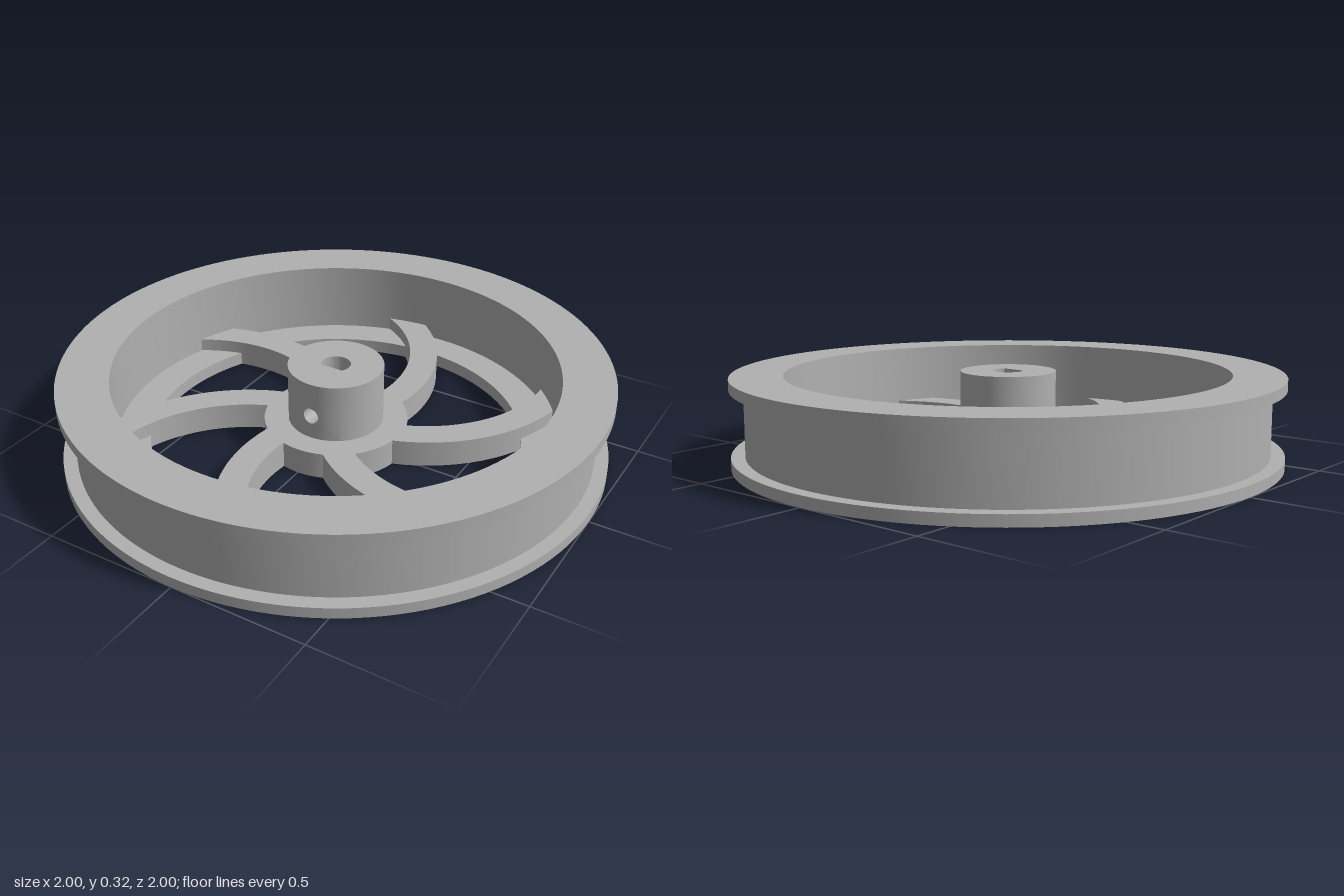
import * as THREE from 'three';
import { toCreasedNormals } from 'three/addons/utils/BufferGeometryUtils.js';

const RIM_R = 1, HEIGHT = 0.32, WEB = 0.1;          // overall radius, height, web thickness
const BOSS_R = 0.175, BORE_R = 0.054, FLAT = 0.032; // boss and D-shaped shaft bore
const SCREW_R = 0.03, SCREW_Y = 0.19;               // set-screw hole

const grey = new THREE.MeshStandardMaterial({ color: 0xb0b0b0, side: THREE.DoubleSide });
grey.name = 'grey plastic';

function part(name, geometry) {
  const mesh = new THREE.Mesh(toCreasedNormals(geometry, 0.5), grey);
  mesh.name = name;
  return mesh;
}

// Grid surface from fn(i, j) -> [x, y, z]
function surface(cols, rows, fn) {
  const pos = [], index = [];
  for (let j = 0; j <= rows; j++) for (let i = 0; i <= cols; i++) pos.push(...fn(i, j));
  for (let j = 0; j < rows; j++) for (let i = 0; i < cols; i++) {
    const a = j * (cols + 1) + i, b = a + cols + 1;
    index.push(a, a + 1, b, a + 1, b + 1, b);
  }
  const g = new THREE.BufferGeometry();
  g.setAttribute('position', new THREE.Float32BufferAttribute(pos, 3));
  g.setIndex(index);
  g.computeVertexNormals();
  return g;
}

// Rim: two flanges, a groove between them and an inner ledge
function makeRim() {
  const profile = [
    [0.685, 0], [RIM_R, 0], [RIM_R, 0.04], [0.95, 0.04], [0.95, 0.28], [RIM_R, 0.28],
    [RIM_R, HEIGHT], [0.81, HEIGHT], [0.81, 0.05], [0.685, 0.05], [0.685, 0],
  ].map(([r, y]) => new THREE.Vector2(r, y));
  return part('rim', new THREE.LatheGeometry(profile, 128));
}

// Curved spoke between two concentric arcs, ends buried in hub and rim
function makeSpokeGeometry() {
  const rad = THREE.MathUtils.degToRad, cx = -0.508, cy = -0.233;
  const shape = new THREE.Shape();
  shape.absarc(cx, cy, 0.633, rad(45), rad(113), false);
  shape.absarc(cx, cy, 0.524, rad(123.5), rad(48), true);
  shape.closePath();
  return new THREE.ExtrudeGeometry(shape, { depth: WEB, bevelEnabled: false, curveSegments: 24 })
    .rotateX(-Math.PI / 2);
}

// Boss with a D-shaped bore from the top and a set-screw hole in front
function makeBoss() {
  const boss = new THREE.Group();
  boss.name = 'boss';

  // Outer wall, leaving a window at the front for the drilled patch
  const half = 0.11, gap = half / BOSS_R, h = HEIGHT - WEB;
  const wall = new THREE.CylinderGeometry(BOSS_R, BOSS_R, h, 64, 1, true, gap, 2 * Math.PI - 2 * gap);
  boss.add(part('bossWall', wall.translate(0, WEB + h / 2, 0)));

  // Front patch: blends from the round screw hole to the window's edges
  const wrap = (u, y) => [BOSS_R * Math.sin(u / BOSS_R), y, BOSS_R * Math.cos(u / BOSS_R)];
  boss.add(part('drilledWall', surface(40, 5, (i, j) => {
    const a = (i / 40) * Math.PI * 2, c = Math.cos(a), s = Math.sin(a);
    const m = Math.max(Math.abs(c), Math.abs(s)), t = 1 - j / 5;
    const v = (s / m) * (s > 0 ? HEIGHT - SCREW_Y : SCREW_Y - WEB);
    return wrap(THREE.MathUtils.lerp(SCREW_R * c, half * c / m, t),
      SCREW_Y + THREE.MathUtils.lerp(SCREW_R * s, v, t));
  })));

  // Screw hole running in to the flat of the bore
  boss.add(part('screwHole', surface(40, 1, (i, j) => {
    const a = (i / 40) * Math.PI * 2;
    const p = wrap(SCREW_R * Math.cos(a), SCREW_Y + SCREW_R * Math.sin(a));
    return j ? p : [p[0], p[1], FLAT];
  })));

  // Top face and bore wall share the D outline
  const start = -Math.asin(FLAT / BORE_R);
  const dPath = new THREE.Path();
  dPath.absarc(0, 0, BORE_R, start, Math.PI - start, false);
  dPath.closePath();
  const top = new THREE.Shape().absarc(0, 0, BOSS_R, 0, Math.PI * 2, false);
  top.holes.push(dPath);
  boss.add(part('bossTop',
    new THREE.ShapeGeometry(top, 48).rotateX(-Math.PI / 2).translate(0, HEIGHT, 0)));

  // The arc of the bore, then its flat cut around the screw hole
  const arc = dPath.curves[0].getPoints(32);
  boss.add(part('boreWall', surface(32, 1, (i, j) => [arc[i].x, j ? WEB : HEIGHT, -arc[i].y])));
  const w = arc[0].x;
  const flat = new THREE.Shape([[-w, WEB], [w, WEB], [w, HEIGHT], [-w, HEIGHT]]
    .map(([x, y]) => new THREE.Vector2(x, y)));
  flat.holes.push(new THREE.Path().absarc(0, SCREW_Y, SCREW_R, 0, Math.PI * 2, true));
  boss.add(part('boreFlat', new THREE.ShapeGeometry(flat, 20).translate(0, 0, FLAT)));
  return boss;
}

export function createModel() {
  const wheel = new THREE.Group();
  wheel.name = 'spokedWheel';
  wheel.add(makeRim());

  // Hub disc, also the floor of the bore
  wheel.add(part('hubDisc',
    new THREE.CylinderGeometry(0.265, 0.265, WEB, 64).translate(0, WEB / 2, 0)));
  wheel.add(makeBoss());

  const spokeGeometry = makeSpokeGeometry();
  for (let i = 0; i < 6; i++) {
    const spoke = part('spoke', spokeGeometry);
    spoke.rotation.y = (i * Math.PI) / 3;
    wheel.add(spoke);
  }
  return wheel;
}
